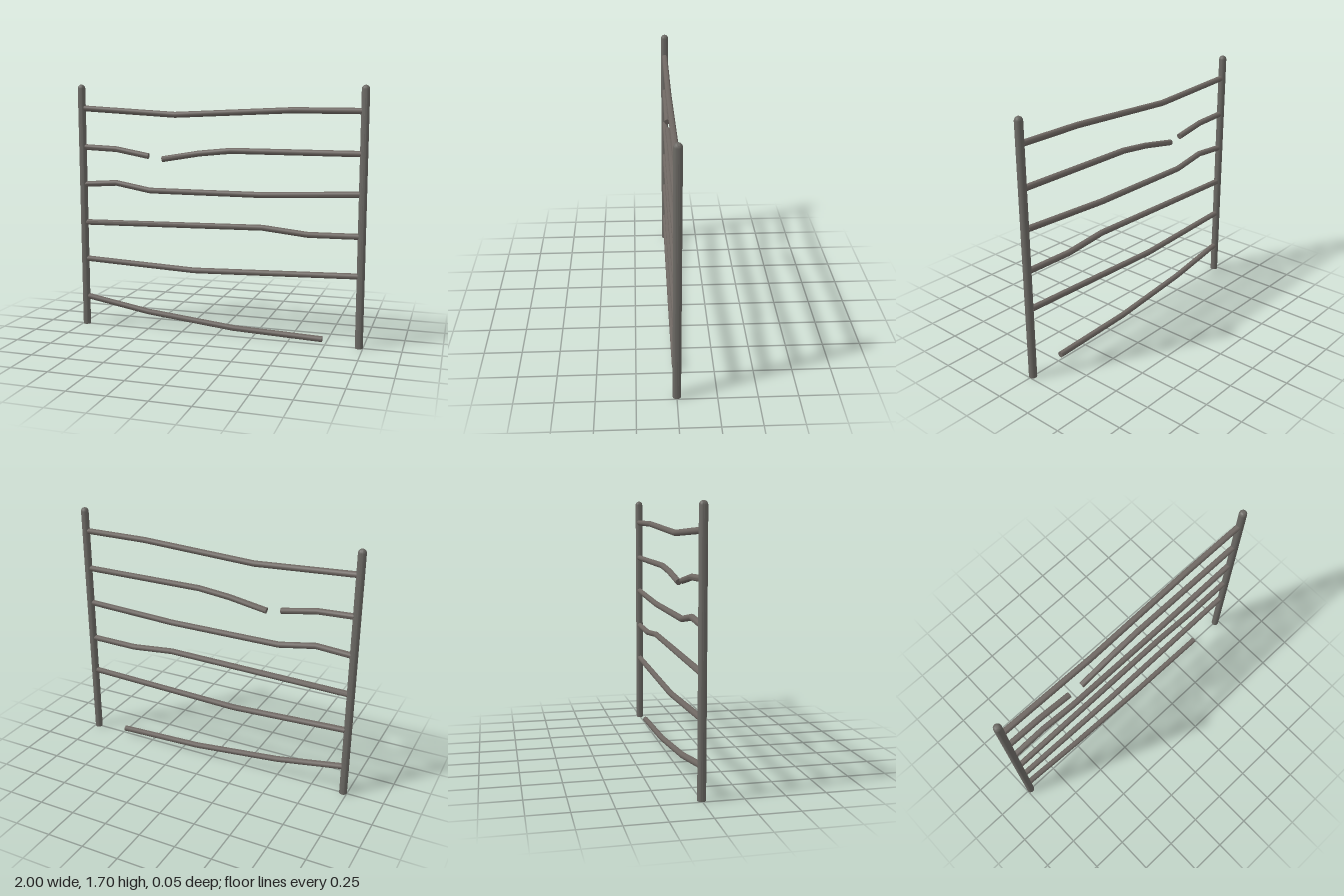
import * as THREE from 'three';
import { toCreasedNormals } from 'three/addons/utils/BufferGeometryUtils.js';

const POST_X = 0.974, POST_R = 0.026, POST_H = 1.7;
const RAIL_R = 0.02, END = 0.955, SIDES = 12;

// Bent wire rail: a capped cylinder whose rings follow the path with mitred bends
function railGeometry(path) {
  const pts = path.map(([x, y]) => new THREE.Vector2(x, y));
  const n = pts.length - 1;
  const geo = new THREE.CylinderGeometry(RAIL_R, RAIL_R, n, SIDES, n);
  const dirs = pts.slice(1).map((p, i) => p.clone().sub(pts[i]).normalize());
  const rings = pts.map((p, i) => {
    const a = dirs[Math.max(i - 1, 0)], b = dirs[Math.min(i, n - 1)];
    const mid = a.clone().add(b).normalize();
    return { p, side: new THREE.Vector2(mid.y, -mid.x).divideScalar(mid.dot(a)) };
  });
  const pos = geo.attributes.position;
  for (let i = 0; i < pos.count; i++) {
    const { p, side } = rings[Math.round(pos.getY(i) + n / 2)];
    const r = pos.getX(i);
    pos.setXY(i, p.x + side.x * r, p.y + side.y * r);
  }
  return toCreasedNormals(geo, 0.6);
}

// Post with a flat foot and a domed top
function postGeometry() {
  const profile = [[0, 0], [POST_R, 0]];
  for (let i = 0; i <= 5; i++) {
    const a = (i / 5) * Math.PI / 2;
    profile.push([i === 5 ? 0 : POST_R * Math.cos(a), POST_H - POST_R + POST_R * Math.sin(a)]);
  }
  const points = profile.map(([x, y]) => new THREE.Vector2(x, y));
  return toCreasedNormals(new THREE.LatheGeometry(points, 16), 0.6);
}

export function createModel() {
  const group = new THREE.Group();
  group.name = 'brokenFence';
  const postMetal = new THREE.MeshStandardMaterial({ color: 0x6a6863 });
  postMetal.name = 'postMetal';
  const railMetal = new THREE.MeshStandardMaterial({ color: 0x6e6762 });
  railMetal.name = 'railMetal';

  // Posts
  const postGeo = postGeometry();
  for (const side of [-1, 1]) {
    const post = new THREE.Mesh(postGeo, postMetal);
    post.name = side < 0 ? 'rightPost' : 'leftPost';
    post.position.x = side * POST_X;
    group.add(post);
  }

  // Rails, from top to bottom
  const rails = {
    topRail: [[-END, 1.537], [-0.29, 1.5], [0.51, 1.538], [END, 1.537]],
    snappedRailRight: [[-END, 1.27], [-0.72, 1.26], [-0.483, 1.218]],
    snappedRailLeft: [[-0.383, 1.2], [-0.12, 1.245], [0.1, 1.268], [END, 1.268]],
    upperRail: [[-END, 1.01], [-0.725, 1.026], [-0.475, 0.982], [0.31, 0.982], [END, 1.01]],
    middleRail: [[-END, 0.74], [0.32, 0.764], [0.625, 0.733], [END, 0.738]],
    lowerRail: [[-END, 0.478], [-0.16, 0.443], [END, 0.478]],
    fallenRail: [[-END, 0.203], [-0.495, 0.124], [0.125, 0.06], [0.732, 0.038]],
  };
  for (const [name, path] of Object.entries(rails)) {
    const rail = new THREE.Mesh(railGeometry(path), railMetal);
    rail.name = name;
    group.add(rail);
  }
  return group;
}
